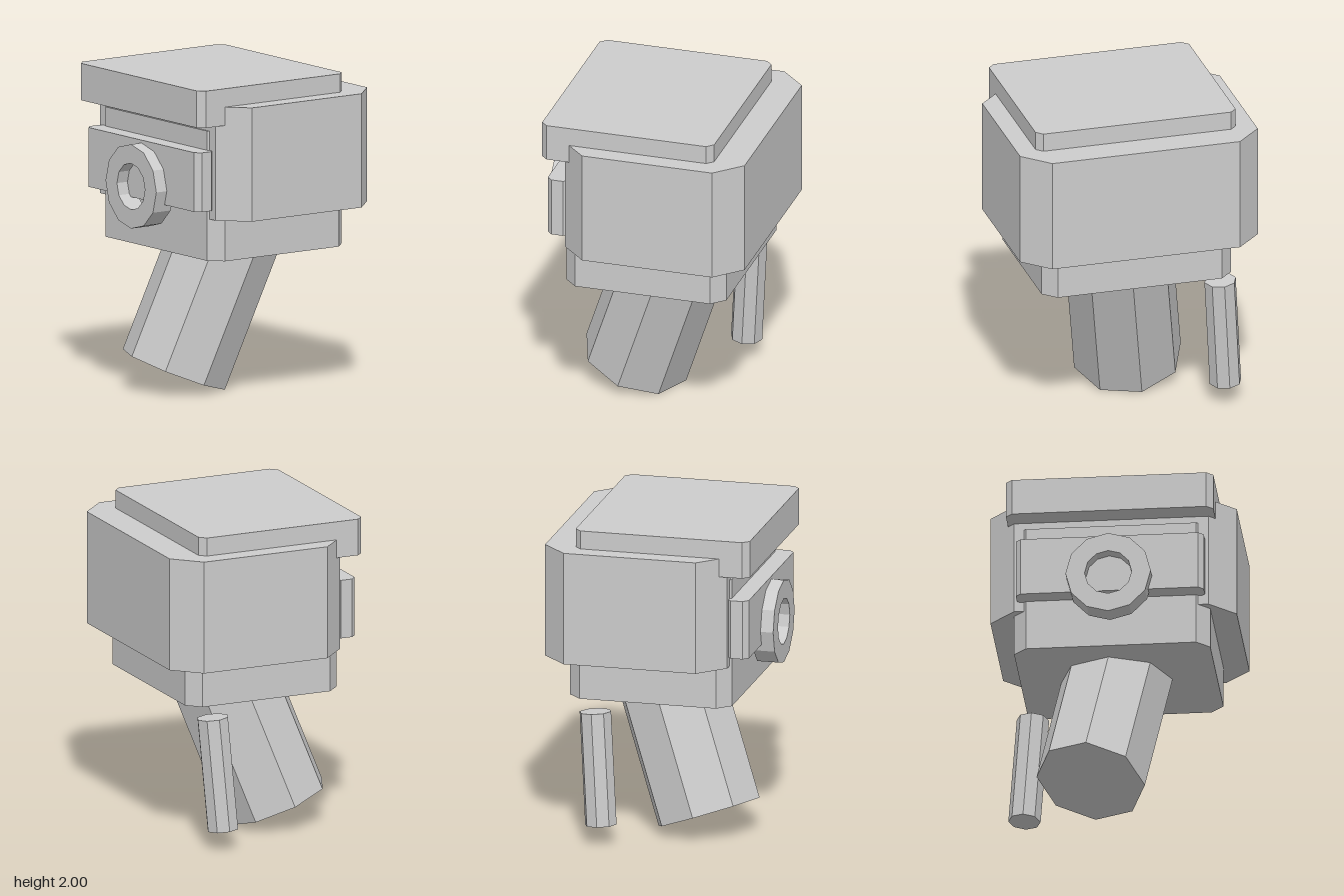
import * as THREE from 'three';

const grey = new THREE.MeshStandardMaterial({ color: 0xcccccc, flatShading: true });
grey.name = 'grey';

// Upright block with chamfered vertical corners
function chamferedBlock(name, hx, z0, z1, y0, y1, c) {
  const corners = [
    [hx - c, z1], [hx, z1 - c], [hx, z0 + c], [hx - c, z0],
    [c - hx, z0], [-hx, z0 + c], [-hx, z1 - c], [c - hx, z1],
  ];
  const shape = new THREE.Shape(corners.map(([x, z]) => new THREE.Vector2(x, -z)));
  const geo = new THREE.ExtrudeGeometry(shape, { depth: y1 - y0, bevelEnabled: false });
  geo.rotateX(-Math.PI / 2).translate(0, y0, 0);
  const mesh = new THREE.Mesh(geo, grey);
  mesh.name = name;
  return mesh;
}

// Eight-sided tilted rod, placed by the centre of its lower end
function tiltedRod(name, radius, length, base, tiltX, tiltZ) {
  const geo = new THREE.CylinderGeometry(radius, radius, length, 8);
  geo.translate(0, length / 2, 0);
  const mesh = new THREE.Mesh(geo, grey);
  mesh.name = name;
  mesh.position.set(...base);
  mesh.rotation.set(tiltX, 0, tiltZ);
  return mesh;
}

function polygon(radius, sides) {
  return Array.from({ length: sides }, (_, i) => {
    const a = (i / sides) * Math.PI * 2;
    return new THREE.Vector2(Math.cos(a) * radius, Math.sin(a) * radius);
  });
}

export function createModel() {
  const model = new THREE.Group();
  model.name = 'model';

  // Stacked body
  model.add(
    chamferedBlock('lid', 0.64, -0.485, 0.62, 1.77, 2, 0.04),
    chamferedBlock('outerBody', 0.76, -0.68, 0.475, 1.175, 1.885, 0.16),
    chamferedBlock('core', 0.605, -0.54, 0.487, 0.915, 1.725, 0.08),
    chamferedBlock('frontPlate', 0.58, 0.46, 0.6, 1.235, 1.605, 0.033),
  );

  // Twelve-sided ring on the front plate
  const ringShape = new THREE.Shape(polygon(0.263, 12));
  ringShape.holes.push(new THREE.Path(polygon(0.145, 12).reverse()));
  const ring = new THREE.Mesh(
    new THREE.ExtrudeGeometry(ringShape, { depth: 0.135, bevelEnabled: false }), grey);
  ring.name = 'frontRing';
  ring.position.set(0, 1.324, 0.545);
  model.add(ring);

  // Slanted grip below the body and the loose rod beside it
  model.add(
    tiltedRod('grip', 0.34, 1.2, [-0.148, 0.115, 0.244], -0.34, -0.157),
    tiltedRod('sideRod', 0.1, 0.71, [-0.61, 0.122, -0.323], -0.067, -0.067),
  );

  return model;
}
